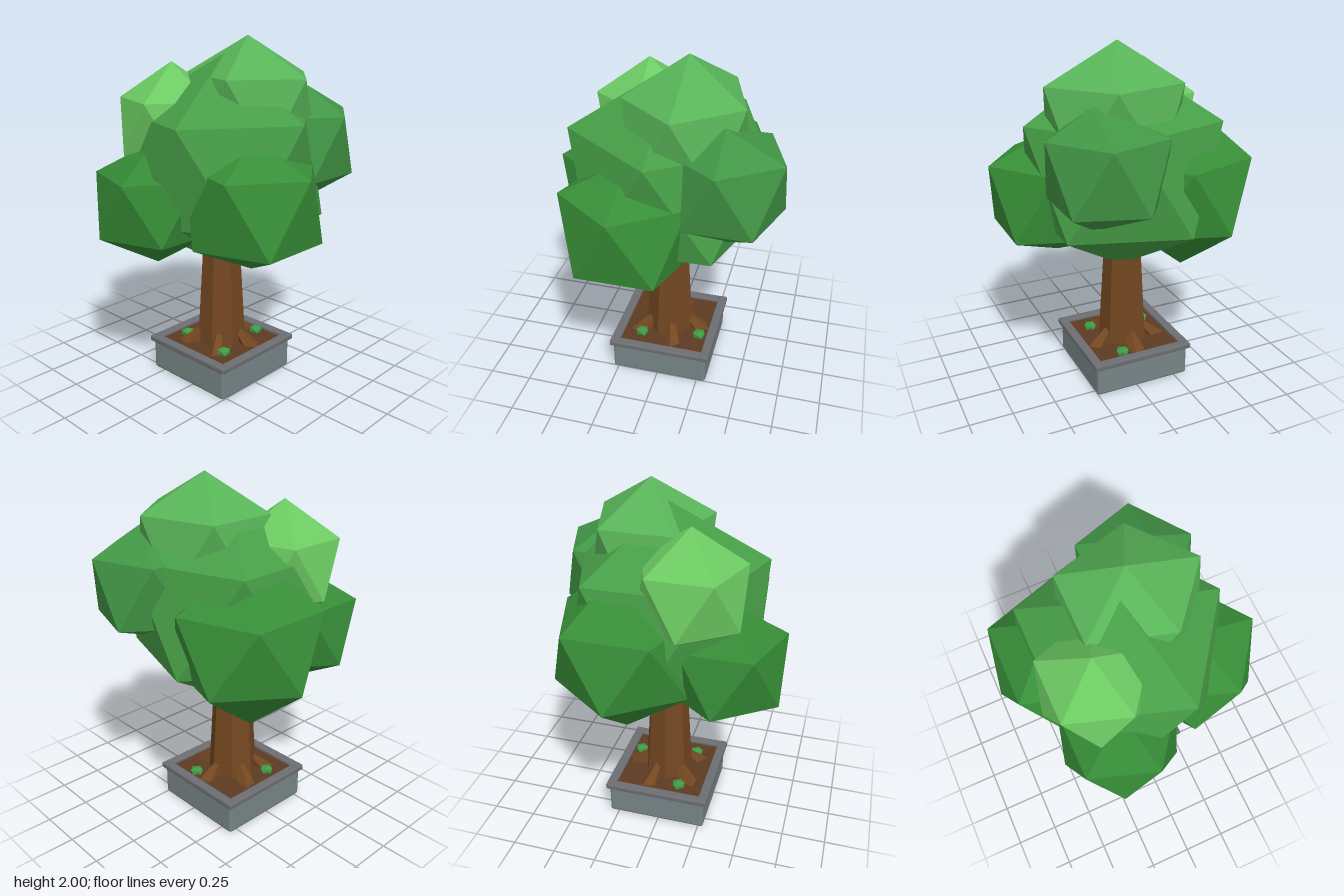
import * as THREE from 'three';
import { RoundedBoxGeometry } from 'three/addons/geometries/RoundedBoxGeometry.js';
import { ConvexGeometry } from 'three/addons/geometries/ConvexGeometry.js';

const CX = -0.037, CZ = -0.012; // axis of pot and trunk

function add(parent, name, geometry, color, x = 0, y = 0, z = 0) {
  const material = new THREE.MeshStandardMaterial({ color, flatShading: true });
  const mesh = new THREE.Mesh(geometry, material);
  mesh.name = name;
  mesh.position.set(x, y, z);
  parent.add(mesh);
  return mesh;
}

// Twenty-sided clump: two poles (shifted sideways by lean) and two staggered rings of five
function clumpGeometry(ringR, ringH, poleH, lean = 0, depth = 1) {
  const points = [new THREE.Vector3(lean, poleH, 0), new THREE.Vector3(lean, -poleH, 0)];
  for (let i = 0; i < 10; i++) {
    const a = (i * Math.PI) / 5;
    points.push(new THREE.Vector3(Math.cos(a) * ringR, i % 2 ? -ringH : ringH, Math.sin(a) * ringR * depth));
  }
  return new ConvexGeometry(points);
}

export function createModel() {
  const tree = new THREE.Group();
  tree.name = 'pottedTree';

  // Square planter with a rim of four bars
  const planter = new THREE.Group();
  planter.name = 'planter';
  planter.position.set(CX, 0, CZ);
  tree.add(planter);
  add(planter, 'planterBox', new RoundedBoxGeometry(0.585, 0.185, 0.585, 1, 0.014), 0x768486, 0, 0.0925, 0);
  add(planter, 'soil', new THREE.BoxGeometry(0.53, 0.02, 0.53), 0x5e3a22, 0, 0.182, 0);
  for (const s of [-1, 1]) {
    add(planter, 'rimBar', new RoundedBoxGeometry(0.62, 0.034, 0.055, 1, 0.008), 0x6c6e72, 0, 0.193, s * 0.2825);
    add(planter, 'rimSide', new RoundedBoxGeometry(0.055, 0.032, 0.52, 1, 0.008), 0x6c6e72, s * 0.2825, 0.193, 0);
  }

  // Tapered trunk reaching into the crown
  const trunk = add(tree, 'trunk', new THREE.CylinderGeometry(0.105, 0.147, 0.72, 7), 0x734721, CX, 0.54, CZ);
  trunk.rotation.y = 0.35;

  // Root flares leaning against the trunk
  for (let i = 0; i < 5; i++) {
    const pivot = new THREE.Group();
    pivot.name = 'rootPivot';
    pivot.position.set(CX, 0.19, CZ);
    pivot.rotation.y = i * Math.PI * 0.4 + 0.3;
    tree.add(pivot);
    const root = add(pivot, 'root', new THREE.CylinderGeometry(0.022, 0.06, 0.17, 5), 0x734721, 0.155, 0.025, 0);
    root.rotation.z = 0.75;
  }

  // Small sprouts on the soil
  for (const [x, z] of [[0.12, 0.13], [-0.22, 0.1], [0.06, -0.22]]) {
    add(tree, 'sprout', clumpGeometry(0.038, 0.012, 0.028), 0x3f9a45, x, 0.205, z);
  }

  // Foliage: name, centre, ring radius, ring height, pole height, lean, depth, colour
  const clumps = [
    ['mainFoliage', -0.02, 1.29, -0.02, 0.56, 0.28, 0.615, 0, 1, 0x479e47],
    ['topFoliage', 0.073, 1.6, -0.13, 0.387, 0.19, 0.4, -0.02, 0.88, 0x58b458],
    ['upperFrontFoliage', -0.247, 1.51, 0.165, 0.298, 0.15, 0.35, 0, 1, 0x6cca62],
    ['upperBackFoliage', 0.22, 1.4, -0.37, 0.325, 0.175, 0.325, 0.07, 1, 0x429646],
    ['lowerFrontFoliage', -0.2, 1.1, 0.35, 0.333, 0.167, 0.35, 0.01, 1, 0x358a36],
    ['lowerLeftFoliage', 0.335, 1.14, 0.123, 0.366, 0.195, 0.36, -0.015, 1, 0x388f38],
    ['lowerRightFoliage', -0.313, 1.17, -0.17, 0.397, 0.19, 0.49, -0.03, 1, 0x388f38],
  ];
  for (const [name, x, y, z, ringR, ringH, poleH, lean, depth, color] of clumps) {
    add(tree, name, clumpGeometry(ringR, ringH, poleH, lean, depth), color, x, y, z);
  }
  return tree;
}
